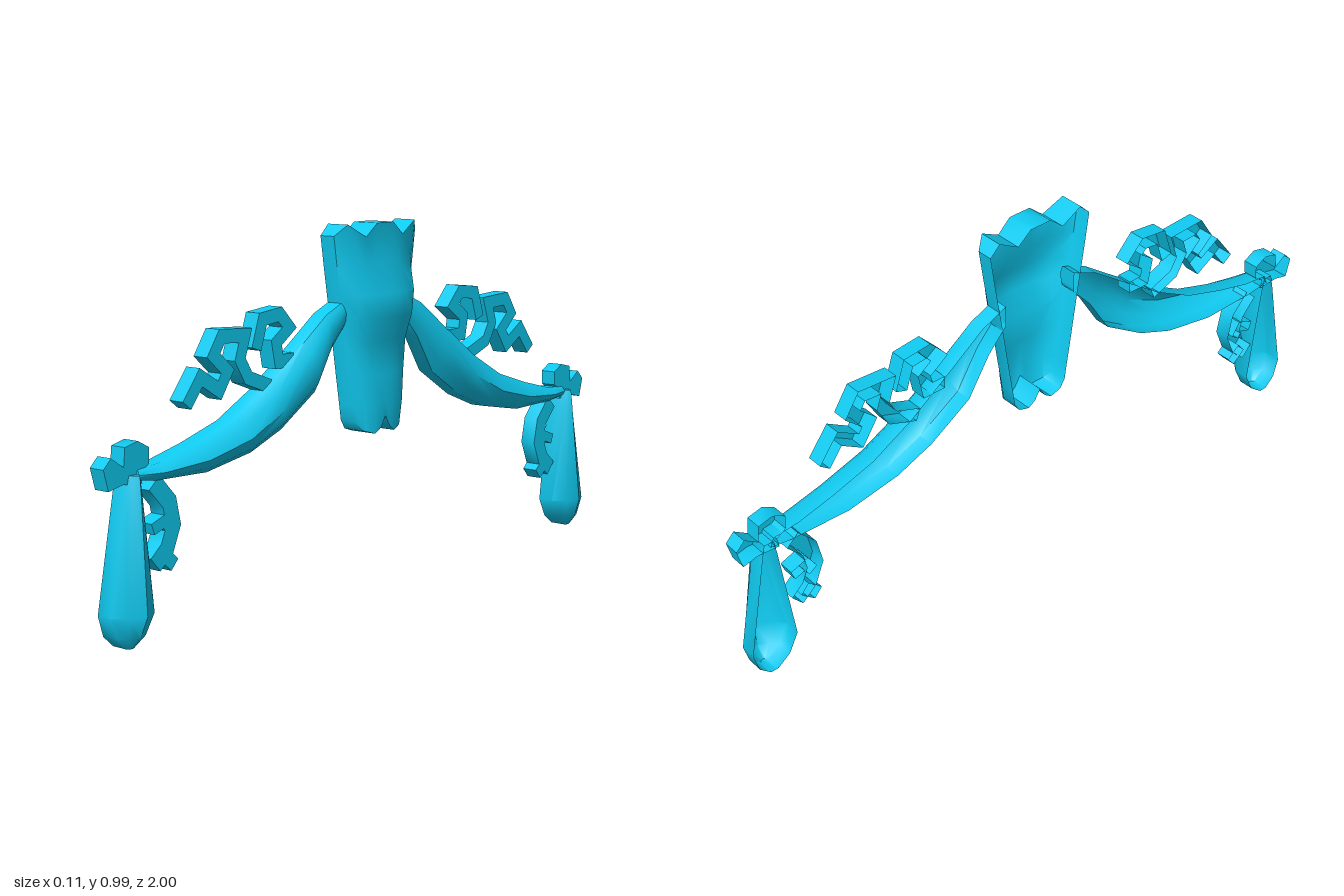
import * as THREE from 'three';
import { toCreasedNormals } from 'three/addons/utils/BufferGeometryUtils.js';

const BACK = -0.055, EDGE = -0.008; // open rear plane and top of the side walls
const material = new THREE.MeshStandardMaterial({ color: 0x0fcaf0, side: THREE.DoubleSide });

// Drops empty faces and those on the open rear plane, mirrors if asked, and creases normals.
function finish(name, source, side = 1) {
  const flat = source.index ? source.toNonIndexed() : source;
  const p = flat.attributes.position, out = [];
  const tri = new THREE.Triangle();
  for (let i = 0; i < p.count; i += 3) {
    tri.setFromAttributeAndIndices(p, i, i + 1, i + 2);
    const { a, b, c } = tri;
    if (tri.getArea() < 1e-9 || Math.max(a.x, b.x, c.x) < BACK + 1e-5) continue;
    for (const v of side > 0 ? [a, b, c] : [a, c, b]) out.push(v.x, v.y, v.z * side);
  }
  const g = new THREE.BufferGeometry();
  g.setAttribute('position', new THREE.Float32BufferAttribute(out, 3));
  const mesh = new THREE.Mesh(toCreasedNormals(g, 0.8), material);
  mesh.name = name;
  return mesh;
}

// Skin over cross-sections of [x, y, z] points, with both ends closed down to the rear plane.
function loft(name, sections, side) {
  const toBack = (s) => s.map(([, y, z]) => [BACK, y, z]);
  const rows = [toBack(sections[0]), ...sections, toBack(sections.at(-1))];
  const n = rows[0].length, index = [];
  for (let i = 0; i < rows.length - 1; i++) {
    for (let j = 0; j < n - 1; j++) {
      const a = i * n + j, b = a + n;
      index.push(a, b, b + 1, a, b + 1, a + 1);
    }
  }
  const g = new THREE.BufferGeometry();
  g.setAttribute('position', new THREE.Float32BufferAttribute(rows.flat(2), 3));
  g.setIndex(index);
  return finish(name, g, side);
}

// Domed cross-section between two edge points [z, y], bulging forward to x = front.
function dome(a, b, front) {
  const profile = [[0, 0], [0.2, 0.62], [0.5, 1], [0.8, 0.62], [1, 0]];
  const at = (t, x) => [x, a[1] + (b[1] - a[1]) * t, a[0] + (b[0] - a[0]) * t];
  return [at(0, BACK), ...profile.map(([t, h]) => at(t, EDGE + (front - EDGE) * h)), at(1, BACK)];
}

// Flat-fronted plate, hollow behind, from an outline of [z, y] points.
function plate(name, outline, side) {
  const shape = new THREE.Shape(outline.map(([z, y]) => new THREE.Vector2(-z, y)));
  const g = new THREE.ExtrudeGeometry(shape, { depth: EDGE - BACK, bevelEnabled: false });
  g.rotateY(Math.PI / 2).translate(BACK, 0, 0);
  return finish(name, g, side);
}

// Ribbon of constant width along a [z, y] path.
function ribbon(name, path, halfWidth, side) {
  const pts = path.map(([z, y]) => new THREE.Vector2(z, y));
  const normal = (i) => {
    const d = pts[i + 1].clone().sub(pts[i]).normalize();
    return new THREE.Vector2(-d.y, d.x);
  };
  const left = [], right = [];
  pts.forEach((p, i) => {
    const n1 = normal(Math.max(i - 1, 0)), n2 = normal(Math.min(i, pts.length - 2));
    const m = n1.clone().add(n2).multiplyScalar(halfWidth / Math.max(1 + n1.dot(n2), 0.7));
    left.push([p.x + m.x, p.y + m.y]);
    right.unshift([p.x - m.x, p.y - m.y]);
  });
  return plate(name, [...left, ...right], side);
}

// Central tapering fold with a zigzag top and a notched foot.
function centrePiece() {
  // column: position across, top height, foot height
  const half = [[1, 0.96, 0.455], [0.82, 0.99, 0.43], [0.45, 0.955, 0.42], [0.2, 0.99, 0.435]];
  const columns = [...half, [0, 0.99, 0.465], ...half.map(([u, t, f]) => [-u, t, f]).reverse()];
  // row: height, half width, front x
  const rows = [[0.96, 0.17, 0.028], [0.88, 0.158, 0.017], [0.8, 0.145, 0.052], [0.735, 0.134, 0.052],
    [0.67, 0.124, 0.026], [0.58, 0.11, 0.029], [0.5, 0.097, 0.036], [0.43, 0.09, 0.028]];
  const sections = rows.map(([h, w, front], i) => {
    const pts = columns.map(([u, top, foot]) => [
      EDGE + (front - EDGE) * Math.pow(1 - u * u, 0.4),
      i === 0 ? top : i === rows.length - 1 ? foot : h,
      u * w,
    ]);
    const wall = ([, y, z]) => [BACK, y, z];
    return [wall(pts[0]), ...pts, wall(pts.at(-1))];
  });
  return loft('centreFold', sections);
}

function sideDrapery(side) {
  const group = new THREE.Group();
  group.name = side > 0 ? 'frontDrapery' : 'rearDrapery';

  // Hanging swag: upper edge, lower edge, front x
  const swag = [
    [[0.12, 0.79], [0.12, 0.73], 0],
    [[0.2, 0.755], [0.18, 0.665], 0.01],
    [[0.29, 0.69], [0.25, 0.555], 0.028],
    [[0.44, 0.585], [0.38, 0.473], 0.033],
    [[0.57, 0.515], [0.495, 0.428], 0.034],
    [[0.7, 0.475], [0.655, 0.4], 0.029],
    [[0.81, 0.448], [0.83, 0.405], 0.018],
    [[0.89, 0.44], [0.9, 0.415], 0],
  ];
  group.add(loft('swag', swag.map((s) => dome(...s)), side));

  // Tail hanging from the knot: height, centre z, half width, front x
  const tail = [[0.43, 0.905, 0.014, 0.016], [0.39, 0.906, 0.022, 0.02], [0.09, 0.915, 0.07, 0.045],
    [0.035, 0.921, 0.048, 0.025], [0.005, 0.925, 0.012, 0]];
  group.add(loft('hangingTail', tail.map(([y, z, w, f]) => dome([z + w, y], [z - w, y], f)), side));

  // Knot at the outer end
  group.add(plate('knot', [[1, 0.455], [0.975, 0.48], [0.935, 0.452], [0.93, 0.5], [0.887, 0.51],
    [0.85, 0.49], [0.852, 0.45], [0.88, 0.432], [0.875, 0.405], [0.94, 0.41], [0.985, 0.4]], side));

  // Curling ribbons
  group.add(ribbon('outerRibbon', [[0.72, 0.575], [0.67, 0.64], [0.605, 0.6], [0.575, 0.645], [0.625, 0.69],
    [0.595, 0.735], [0.51, 0.73], [0.53, 0.67], [0.5, 0.62], [0.42, 0.59]], 0.018, side));
  group.add(ribbon('innerRibbon', [[0.47, 0.69], [0.445, 0.765], [0.38, 0.772], [0.345, 0.735], [0.395, 0.7],
    [0.385, 0.65], [0.33, 0.65]], 0.018, side));
  group.add(ribbon('lowerRibbon', [[0.835, 0.4], [0.785, 0.345], [0.772, 0.285], [0.795, 0.23],
    [0.835, 0.195]], 0.024, side));
  group.add(ribbon('lowerRibbonCurl', [[0.842, 0.285], [0.8, 0.3], [0.78, 0.27]], 0.015, side));
  group.add(ribbon('lowerRibbonEnd', [[0.81, 0.22], [0.77, 0.185]], 0.018, side));
  return group;
}

export function createModel() {
  const model = new THREE.Group();
  model.name = 'draperyOrnament';
  model.add(centrePiece(), sideDrapery(1), sideDrapery(-1));
  return model;
}
